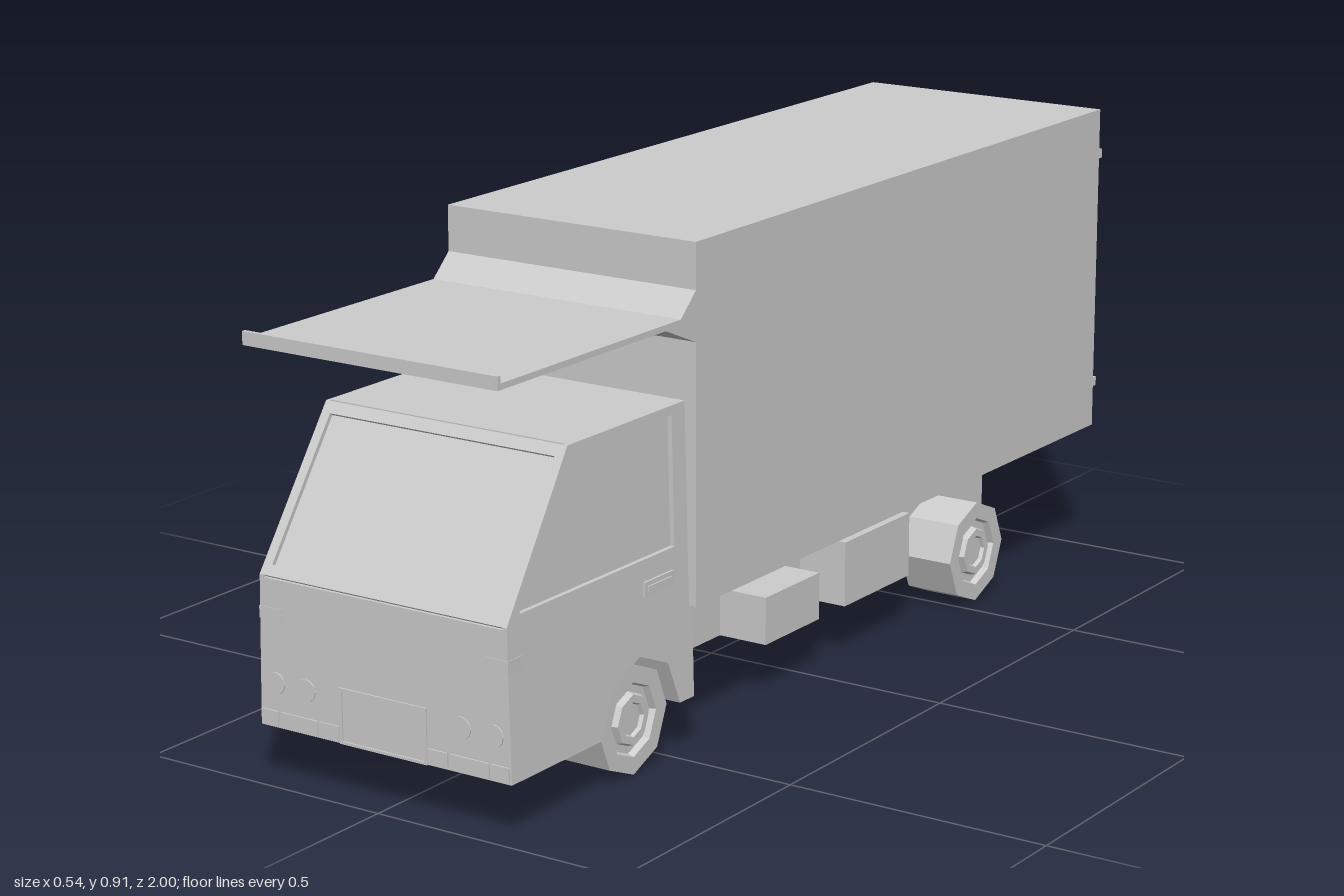
import * as THREE from 'three';

const material = new THREE.MeshStandardMaterial({ color: 0xcccccc, flatShading: true, side: THREE.DoubleSide });

export function createModel() {
  const truck = new THREE.Group();
  truck.name = 'boxTruck';

  const add = (name, geometry, parent = truck) => {
    const mesh = new THREE.Mesh(geometry, material);
    mesh.name = name;
    parent.add(mesh);
    return mesh;
  };
  // box given by its limits on each axis
  const box = (name, x0, x1, y0, y1, z0, z1, parent) =>
    add(name, new THREE.BoxGeometry(x1 - x0, y1 - y0, z1 - z0)
      .translate((x0 + x1) / 2, (y0 + y1) / 2, (z0 + z1) / 2), parent);
  const toShape = (points) => new THREE.Shape(points.map((p) => new THREE.Vector2(...p)));
  // side outline of [z, y] points extruded from x0 to x1
  const sideExtrude = (points, x0, x1, hole) => {
    const shape = toShape(points);
    if (hole) shape.holes.push(toShape(hole));
    return new THREE.ExtrudeGeometry(shape, { depth: x1 - x0, bevelEnabled: false })
      .rotateY(-Math.PI / 2).translate(x1, 0, 0);
  };
  // the cab narrows slightly towards the roof
  const taper = (geometry) => {
    const p = geometry.attributes.position;
    for (let i = 0; i < p.count; i++) p.setX(i, p.getX(i) * (1 - 0.084 * (p.getY(i) - 0.1)));
    geometry.computeVertexNormals();
    return geometry;
  };

  // cargo body with the forward canopy
  const cargo = new THREE.Group();
  cargo.name = 'cargoBody';
  truck.add(cargo);
  box('cargoBox', -0.265, 0.265, 0.26, 0.91, -0.99, 0.44, cargo);
  add('canopy', sideExtrude([[0.44, 0.735], [0.53, 0.773], [1, 0.773], [1, 0.797], [0.992, 0.797],
    [0.992, 0.784], [0.485, 0.784], [0.44, 0.826]], -0.265, 0.265), cargo);

  // rear doors: seam, hinges and latch
  box('doorSeam', -0.002, 0.002, 0.265, 0.905, -0.993, -0.989, cargo);
  for (const s of [-1, 1]) {
    for (const y of [0.35, 0.82]) {
      const x = s * 0.236;
      box('doorHinge', x - 0.03, x + 0.03, y - 0.009, y + 0.009, -1, -0.989, cargo);
    }
    box('latchBar', s * 0.027 - 0.02, s * 0.027 + 0.02, 0.555, 0.562, -0.996, -0.989, cargo);
    box('latchPost', s * 0.012 - 0.004, s * 0.012 + 0.004, 0.546, 0.571, -0.996, -0.989, cargo);
  }

  // chassis and the boxes hung from its sides
  box('chassis', -0.12, 0.12, 0.1, 0.262, -0.8, 0.97);
  for (const s of [-1, 1]) {
    const side = (name, y1, z0, z1) =>
      box(name, Math.min(s * 0.11, s * 0.22), Math.max(s * 0.11, s * 0.22), 0.1, y1, z0, z1);
    side('smallSideBox', 0.19, -0.03, 0.15);
    side('largeSideBox', 0.225, -0.35, -0.12);
  }

  // cab: core, side panels with window openings, windscreen frame
  const cab = new THREE.Group();
  cab.name = 'cab';
  truck.add(cab);
  const arch = [];
  for (let i = 0; i <= 4; i++) {
    const a = (i * Math.PI) / 4;
    arch.push([0.61 - 0.117 * Math.cos(a), 0.1 + 0.117 * Math.sin(a)]);
  }
  const lower = [[0.46, 0.635], [0.46, 0.26], [0.45, 0.25], [0.45, 0.1], ...arch, [0.98, 0.1]];
  const slope = new THREE.Vector2(-0.18, 0.265);
  const length = slope.length();
  const inset = 0.008;
  const dz = (-inset * slope.y) / length, dy = (inset * slope.x) / length;
  const half = 0.267, wall = 0.009;
  add('cabCore', taper(sideExtrude([...lower, [0.98, 0.37 + dy], [0.98 + dz, 0.37 + dy],
    [0.8 + dz, 0.635 + dy], [0.8 + dz, 0.635]], -half + wall, half - wall)), cab);
  const outline = [...lower, [0.98, 0.37], [0.8, 0.635]];
  const sideWindow = [[0.5, 0.385], [0.944, 0.385], [0.785, 0.618], [0.5, 0.618]];
  add('leftCabSide', taper(sideExtrude(outline, half - wall, half, sideWindow)), cab);
  add('rightCabSide', taper(sideExtrude(outline, -half, -half + wall, sideWindow)), cab);

  const w = half - wall;
  const frame = toShape([[-w, 0], [w, 0], [w, length], [-w, length]]);
  frame.holes.push(toShape([[-0.248, 0.02], [0.248, 0.02], [0.248, length - 0.022], [-0.248, length - 0.022]]));
  add('windscreenFrame', taper(new THREE.ExtrudeGeometry(frame, { depth: inset, bevelEnabled: false })
    .rotateX(Math.atan2(slope.x, slope.y)).translate(0, 0.37 + dy, 0.98 + dz)), cab);

  // front panel: number plate recess frame, lamps, bumper blocks
  const plate = toShape([[-0.093, 0.1], [0.093, 0.1], [0.093, 0.2], [-0.093, 0.2]]);
  plate.holes.push(toShape([[-0.087, 0.105], [0.087, 0.105], [0.087, 0.195], [-0.087, 0.195]]));
  add('lowerGrilleFrame', new THREE.ExtrudeGeometry(plate, { depth: 0.004, bevelEnabled: false })
    .translate(0, 0, 0.979), cab);
  for (const s of [-1, 1]) {
    for (const x of [0.165, 0.232]) {
      add('headlight', new THREE.CylinderGeometry(0.02, 0.02, 0.005, 12)
        .rotateX(Math.PI / 2).translate(s * x, 0.18, 0.98), cab);
    }
    for (const [a, b] of [[0.095, 0.136], [0.141, 0.222], [0.227, 0.263]]) {
      box('bumperBlock', Math.min(s * a, s * b), Math.max(s * a, s * b), 0.102, 0.13, 0.975, 0.983, cab);
    }
    // corner marker and door handle
    const marker = [s * 0.215, s * 0.2635];
    box('cornerMarker', Math.min(...marker), Math.max(...marker), 0.292, 0.314, 0.944, 0.981, cab);
    const handle = [s * 0.255, s * 0.266];
    box('doorHandle', Math.min(...handle), Math.max(...handle), 0.32, 0.346, 0.51, 0.596, cab);
    const grip = [s * 0.26, s * 0.269];
    box('doorGrip', Math.min(...grip), Math.max(...grip), 0.328, 0.338, 0.518, 0.588, cab);
  }

  // eight-sided wheels with stepped hubs
  const wheelProfile = [[0, 0.14], [0.1, 0.14], [0.1, 0.25], [0.068, 0.25], [0.064, 0.238], [0.05, 0.238],
    [0.046, 0.25], [0.032, 0.25], [0.029, 0.243], [0, 0.243]].map((p) => new THREE.Vector2(...p));
  for (const [name, z] of [['front', 0.61], ['rear', -0.555]]) {
    for (const s of [-1, 1]) {
      const wheel = add(name + (s > 0 ? 'LeftWheel' : 'RightWheel'),
        new THREE.LatheGeometry(wheelProfile, 8).rotateZ(-Math.PI / 2));
      wheel.position.set(0, 0.1, z);
      if (s < 0) wheel.rotation.y = Math.PI;
    }
    add(name + 'Axle', new THREE.CylinderGeometry(0.025, 0.025, 0.3, 8)
      .rotateZ(Math.PI / 2).translate(0, 0.13, z));
  }
  return truck;
}
